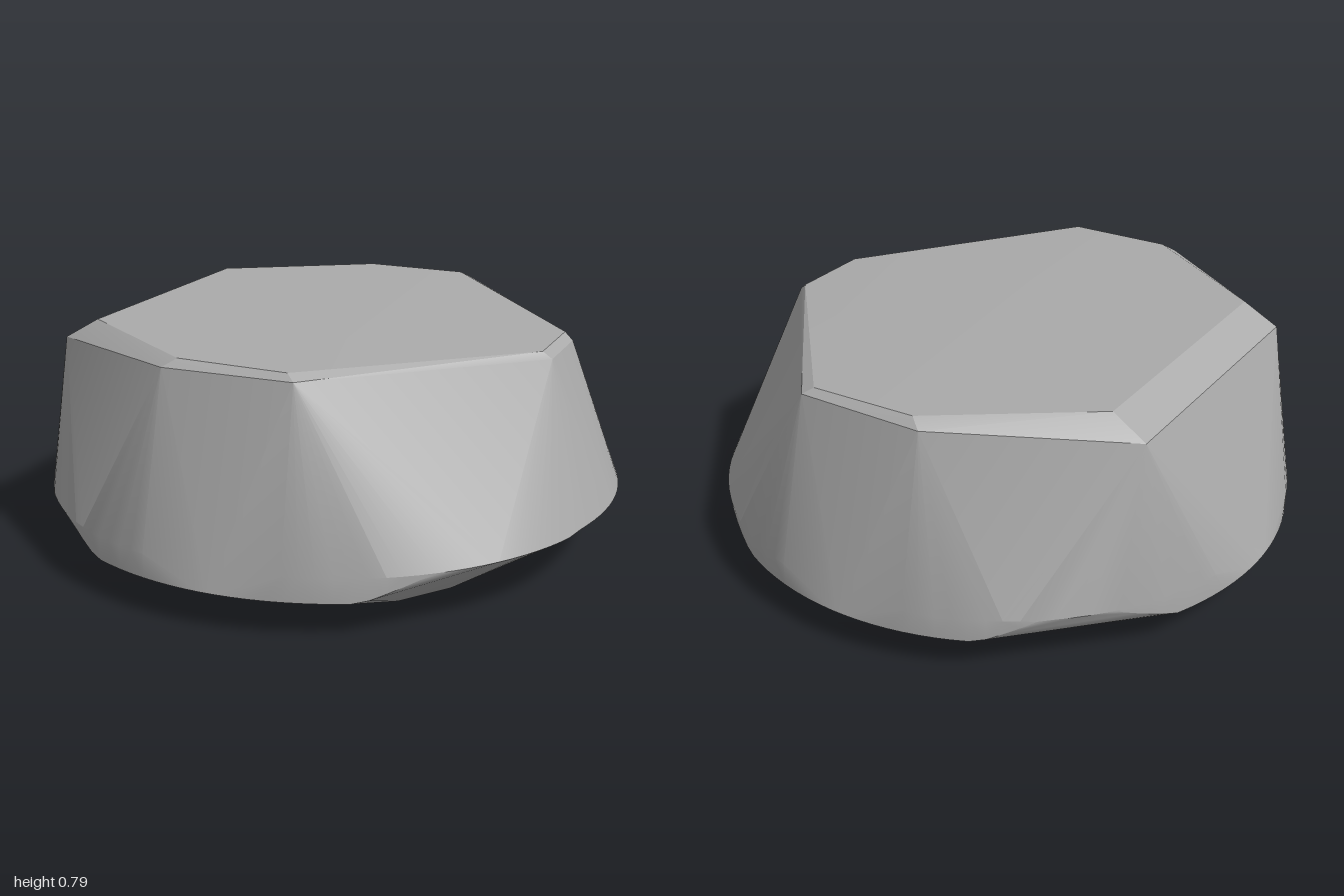
import * as THREE from 'three';
import { ConvexGeometry } from 'three/addons/geometries/ConvexGeometry.js';
import { toCreasedNormals } from 'three/addons/utils/BufferGeometryUtils.js';

// Height of the lower rim by angle from +x (degrees), mirrored front to back
const rimHeights = [
  [0, 0.21], [16, 0.21], [20, 0.2], [50, 0.2], [63, 0.12],
  [117, 0.12], [128, 0.2], [141, 0.2], [154, 0.12], [180, 0.12],
];

function rimHeight(angle) {
  for (let i = 1; i < rimHeights.length; i++) {
    const [a0, h0] = rimHeights[i - 1];
    const [a1, h1] = rimHeights[i];
    if (angle <= a1) return h0 + ((h1 - h0) * (angle - a0)) / (a1 - a0);
  }
  return 0.12;
}

export function createModel() {
  const group = new THREE.Group();
  group.name = 'cutStone';
  const stone = new THREE.MeshStandardMaterial({ color: 0xaaaaaa });
  stone.name = 'stone grey';

  const points = [];
  const addPair = (x, y, z) => {
    points.push(new THREE.Vector3(x, y, z), new THREE.Vector3(x, y, -z));
  };

  // Round girdle: wavy lower edge, and a short upright band where it dips
  for (let a = 1.5; a < 180; a += 3) {
    const t = THREE.MathUtils.degToRad(a);
    const h = rimHeight(a);
    addPair(Math.cos(t), h, Math.sin(t));
    const onFlat = Math.abs(a - 90) < 13 || a > 166;
    if (!onFlat && h < 0.195) addPair(Math.cos(t), 0.2, Math.sin(t));
  }
  points.push(new THREE.Vector3(1, 0.21, 0), new THREE.Vector3(-1, 0.12, 0));
  points.push(new THREE.Vector3(0, 0.12, 1), new THREE.Vector3(0, 0.12, -1));

  // Flat underside, an octagon
  for (const s of [-1, 1]) {
    addPair(s * 0.58, 0, 0.42);
    addPair(s * 0.46, 0, 0.58);
  }

  // Top edge of the side facets
  addPair(-0.79, 0.72, 0.485);
  addPair(-0.22, 0.76, 0.84);
  addPair(0.22, 0.76, 0.84);
  addPair(0.81, 0.72, 0.135);

  // Top face inside the bevel
  addPair(-0.67, 0.79, 0.475);
  addPair(-0.18, 0.786, 0.81);
  addPair(0.19, 0.78, 0.815);
  addPair(0.78, 0.745, 0.145);

  const body = new THREE.Mesh(toCreasedNormals(new ConvexGeometry(points), 0.3), stone);
  body.name = 'facetedBody';
  group.add(body);
  return group;
}
